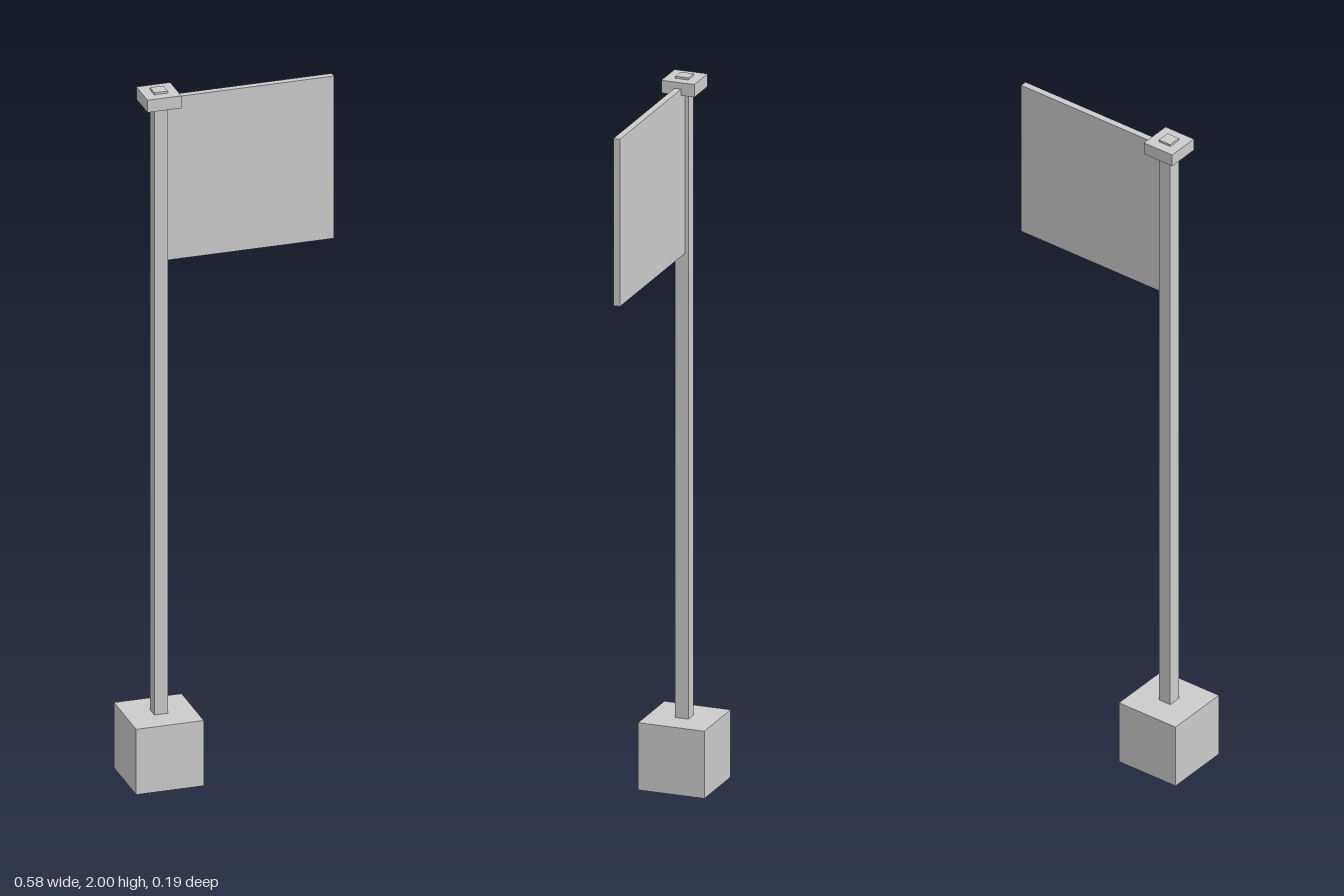
import * as THREE from 'three';

export function createModel() {
  const model = new THREE.Group();
  const material = new THREE.MeshStandardMaterial({ color: 0xcccccc, flatShading: true });
  const poleX = -0.198;

  // Box given by its centre x, bottom and top heights, width and depth
  function addBox(name, x, bottom, top, width, depth) {
    const mesh = new THREE.Mesh(new THREE.BoxGeometry(width, top - bottom, depth), material);
    mesh.name = name;
    mesh.position.set(x, (bottom + top) / 2, 0);
    model.add(mesh);
  }

  // Base block, with the pole running up through the cap
  addBox('base', poleX, 0, 0.19, 0.19, 0.19);
  addBox('pole', poleX, 0.19, 2, 0.038, 0.038);
  addBox('cap', poleX, 1.958, 1.994, 0.095, 0.095);

  // Flag panel, from the pole's side to its free edge
  const flagStart = poleX + 0.019;
  const flagEnd = 0.291;
  addBox('flag', (flagStart + flagEnd) / 2, 1.504, 1.976, flagEnd - flagStart, 0.019);

  return model;
}
